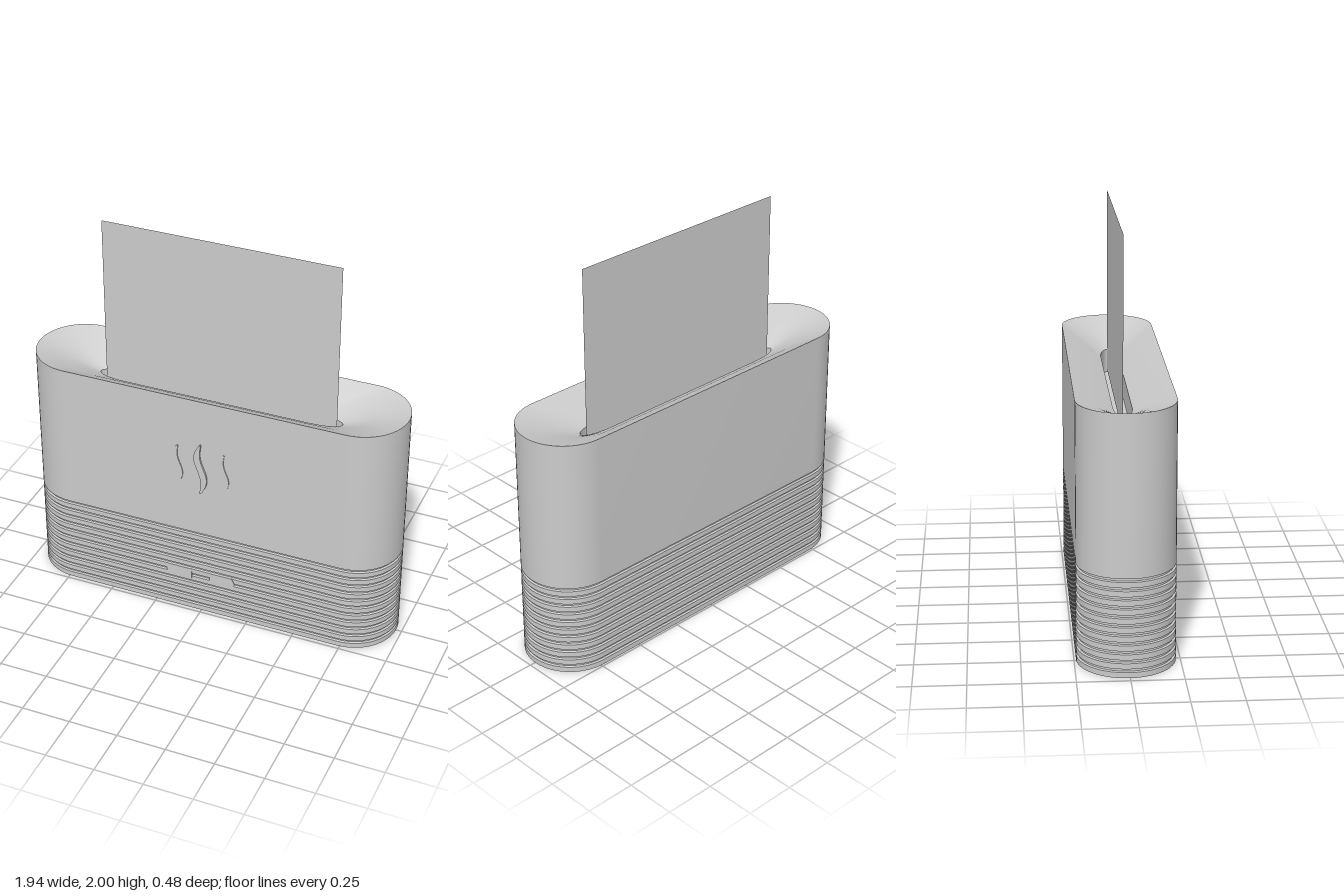
import * as THREE from 'three';
import { toCreasedNormals } from 'three/addons/utils/BufferGeometryUtils.js';

const HALF = 0.735;   // half length of the straight sides
const R = 0.235;      // radius of the round ends
const TOP = 1.265;
const BAND = 0.485;   // height of the ribbed base
const ZC = -0.005;

// Skin a stack of stadium rings: [half length, end radius x, half depth z, y]
function loft(rings, crease = 0.6) {
  const arc = 28, n = 2 * (arc + 1), pos = [], index = [];
  for (const [len, rx, rz, y] of rings) {
    for (let j = 0; j < n; j++) {
      const left = j > arc;
      const a = -Math.PI / 2 + (left ? j - 1 : j) * Math.PI / arc;
      pos.push((left ? -len : len) + rx * Math.cos(a), y, rz * Math.sin(a));
    }
  }
  for (let i = 0; i < rings.length - 1; i++) {
    for (let j = 0; j < n; j++) {
      const a = i * n + j, b = i * n + (j + 1) % n;
      index.push(a, a + n, b, b, a + n, b + n);
    }
  }
  const geo = new THREE.BufferGeometry();
  geo.setAttribute('position', new THREE.Float32BufferAttribute(pos, 3));
  geo.setIndex(index);
  return toCreasedNormals(geo, crease);
}

// Wavy plume: sine centre line with pointed ends
function plumeShape(height, sway, width) {
  const left = [], right = [], steps = 28;
  for (let i = 0; i <= steps; i++) {
    const t = i / steps;
    const x = sway * Math.sin(t * Math.PI * 2);
    const w = width * Math.pow(Math.sin(Math.PI * t), 0.6) / 2 + 0.002;
    const y = height * (0.5 - t);
    left.push(new THREE.Vector2(-x - w, y));
    right.push(new THREE.Vector2(-x + w, y));
  }
  return new THREE.Shape([...left, ...right.reverse()]);
}

export function createModel() {
  const group = new THREE.Group();
  const grey = new THREE.MeshStandardMaterial({ color: 0xcccccc });
  const sheetGrey = new THREE.MeshStandardMaterial({ color: 0xcccccc, side: THREE.DoubleSide });

  function add(name, geo, x = 0, y = 0, z = 0, mat = grey) {
    const mesh = new THREE.Mesh(geo, mat);
    mesh.name = name;
    mesh.position.set(x, y, z);
    group.add(mesh);
    return mesh;
  }

  // Ribbed base: flat bands separated by shallow grooves
  const ribs = 11, pitch = BAND / ribs, inner = R - 0.01;
  const base = [[HALF, 0, 0, 0]];
  for (let i = 0; i < ribs; i++) {
    const y = i * pitch;
    base.push([HALF, R, R, y], [HALF, R, R, y + pitch * 0.62]);
    base.push([HALF, inner, inner, y + pitch * 0.7], [HALF, inner, inner, y + pitch * 0.92]);
  }
  base.push([HALF, inner, inner, BAND]);
  add('ribbedBase', loft(base), 0, 0, ZC);

  // Upper housing: smooth wall, funnel sloping into the slot, slot wall and floor
  const slot = [HALF * 0.66, R * 0.66, 0.045];
  const slotY = TOP - 0.11;
  add('housing', loft([
    [HALF, inner, inner, BAND],
    [HALF, R, R, BAND],
    [HALF, R, R, TOP],
    [HALF * 0.83, R * 0.83, 0.14, TOP - 0.05],
    [...slot, slotY],
    [...slot, slotY - 0.12],
    [HALF * 0.66, 0, 0, slotY - 0.12],
  ]), 0, 0, ZC);

  // Thin sheet standing in the slot
  const sheetBottom = slotY - 0.1, sheetHeight = 2 - sheetBottom;
  add('sheet', new THREE.PlaneGeometry(1.22, sheetHeight), 0, sheetBottom + sheetHeight / 2, -0.01, sheetGrey);

  // Raised steam plumes
  const plume = (h, sway, w, depth) =>
    new THREE.ExtrudeGeometry(plumeShape(h, sway, w), { depth, bevelEnabled: false });
  add('middlePlume', plume(0.285, 0.018, 0.034, 0.02), 0, 0.878, 0.22);
  for (const side of [-1, 1]) {
    add(side < 0 ? 'rightPlume' : 'leftPlume', plume(0.22, 0.014, 0.026, 0.015), side * 0.122, 0.88, 0.22);
  }

  // Two buttons with a pointed outer end
  for (const side of [-1, 1]) {
    const s = new THREE.Shape([[0.045, 0.19], [0.165, 0.19], [0.183, 0.217], [0.165, 0.25], [0.045, 0.25]]
      .map(([x, y]) => new THREE.Vector2(side * x, y)));
    add(side < 0 ? 'rightButton' : 'leftButton',
      new THREE.ExtrudeGeometry(s, { depth: 0.014, bevelEnabled: false }), side < 0 ? -0.008 : 0, 0, 0.22);
  }
  return group;
}
